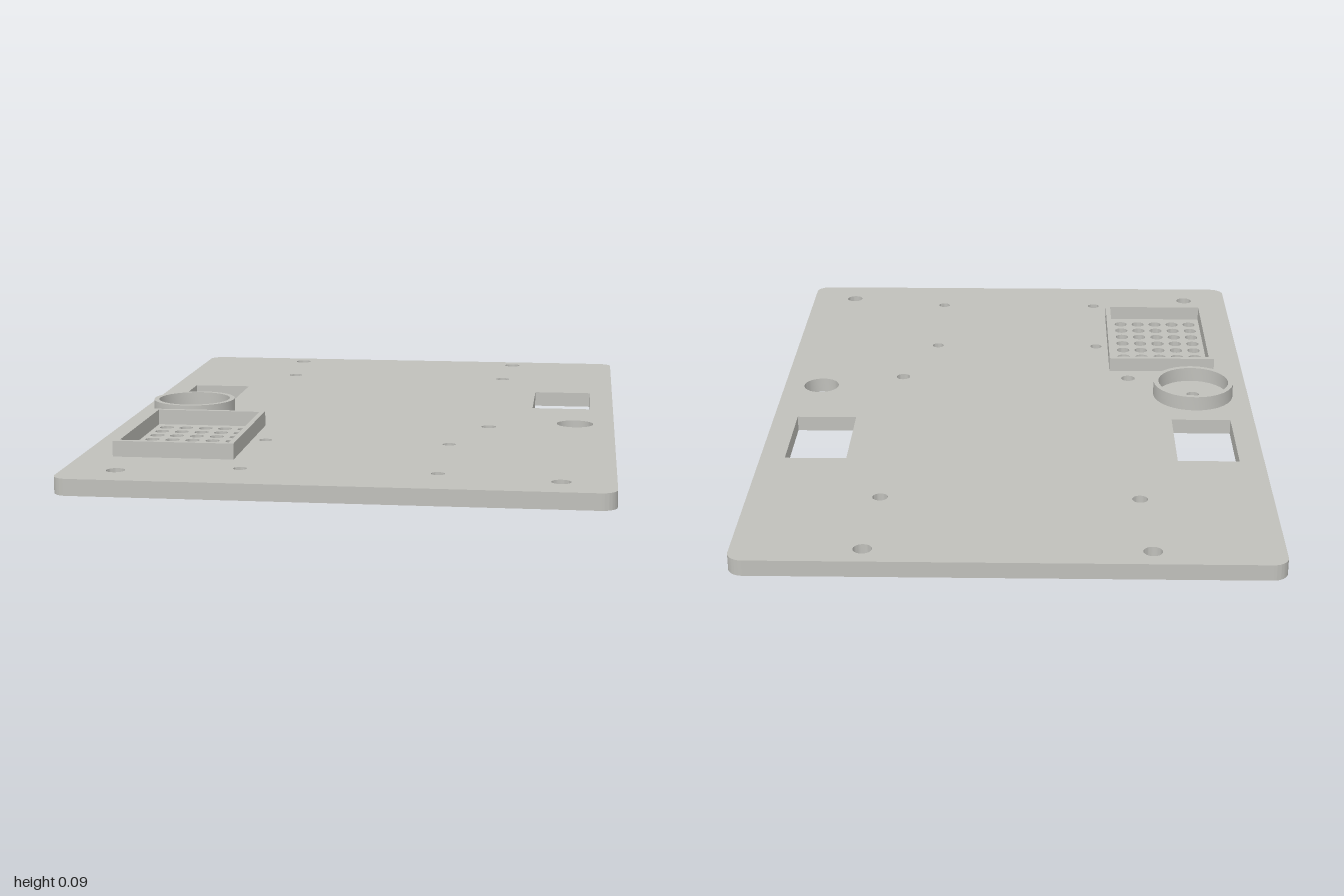
import * as THREE from 'three';
import { toCreasedNormals } from 'three/addons/utils/BufferGeometryUtils.js';

const PLATE_H = 0.044, RIM_TOP = 0.087;

// Outlines are drawn with shape x = model x and shape y = model z.
function circle(x, z, r) {
  return new THREE.Shape().absarc(x, z, r, 0, Math.PI * 2, false);
}

function rect(x0, z0, x1, z1) {
  return new THREE.Shape([[x0, z0], [x1, z0], [x1, z1], [x0, z1]].map(p => new THREE.Vector2(...p)));
}

function roundedRect(w, d, r) {
  const s = new THREE.Shape();
  s.absarc(w - r, d - r, r, 0, Math.PI / 2);
  s.absarc(-w + r, d - r, r, Math.PI / 2, Math.PI);
  s.absarc(-w + r, -d + r, r, Math.PI, Math.PI * 1.5);
  s.absarc(w - r, -d + r, r, Math.PI * 1.5, Math.PI * 2);
  s.closePath();
  return s;
}

// Extrude an outline with holes between two heights.
function slab(name, shape, holes, y0, y1, material) {
  shape.holes.push(...holes);
  let geo = new THREE.ExtrudeGeometry(shape, { depth: y1 - y0, bevelEnabled: false, curveSegments: 16 });
  geo.rotateX(Math.PI / 2).translate(0, y1, 0);
  geo = toCreasedNormals(geo, 0.6);
  const mesh = new THREE.Mesh(geo, material);
  mesh.name = name;
  return mesh;
}

export function createModel() {
  const group = new THREE.Group();
  group.name = 'mountingPlate';
  const grey = new THREE.MeshStandardMaterial({ color: 0xc0c0bb });
  grey.name = 'light grey';

  const holes = [];
  // Mirrored screw holes: x, z, radius
  const screws = [
    [0.371, -0.933, 0.025], [0.351, -0.64, 0.021], [0.351, 0.193, 0.021],
    [0.257, 0.457, 0.018], [0.257, 0.828, 0.018], [0.572, 0.886, 0.025],
  ];
  for (const side of [-1, 1]) {
    for (const [x, z, r] of screws) holes.push(circle(side * x, z, r));
    // Rectangular windows
    const a = side * 0.468, b = side * 0.642;
    holes.push(rect(Math.min(a, b), -0.4, Math.max(a, b), -0.118));
  }
  // Large round hole and the small hole inside the ring
  holes.push(circle(0.599, 0.12, 0.053), circle(-0.544, 0.071, 0.019));
  // Grille of round holes
  for (let i = 0; i < 5; i++) {
    for (let j = 0; j < 7; j++) holes.push(circle(-0.573 + i * 0.057, 0.312 + j * 0.0575, 0.02));
  }

  group.add(
    slab('basePlate', roundedRect(0.712, 1, 0.042), holes, 0, PLATE_H, grey),
    slab('roundRim', circle(-0.544, 0.071, 0.121), [circle(-0.544, 0.071, 0.106)], PLATE_H, RIM_TOP, grey),
    slab('grilleFrame', rect(-0.623, 0.252, -0.295, 0.723), [rect(-0.607, 0.267, -0.31, 0.707)],
      PLATE_H, RIM_TOP, grey),
  );
  return group;
}
